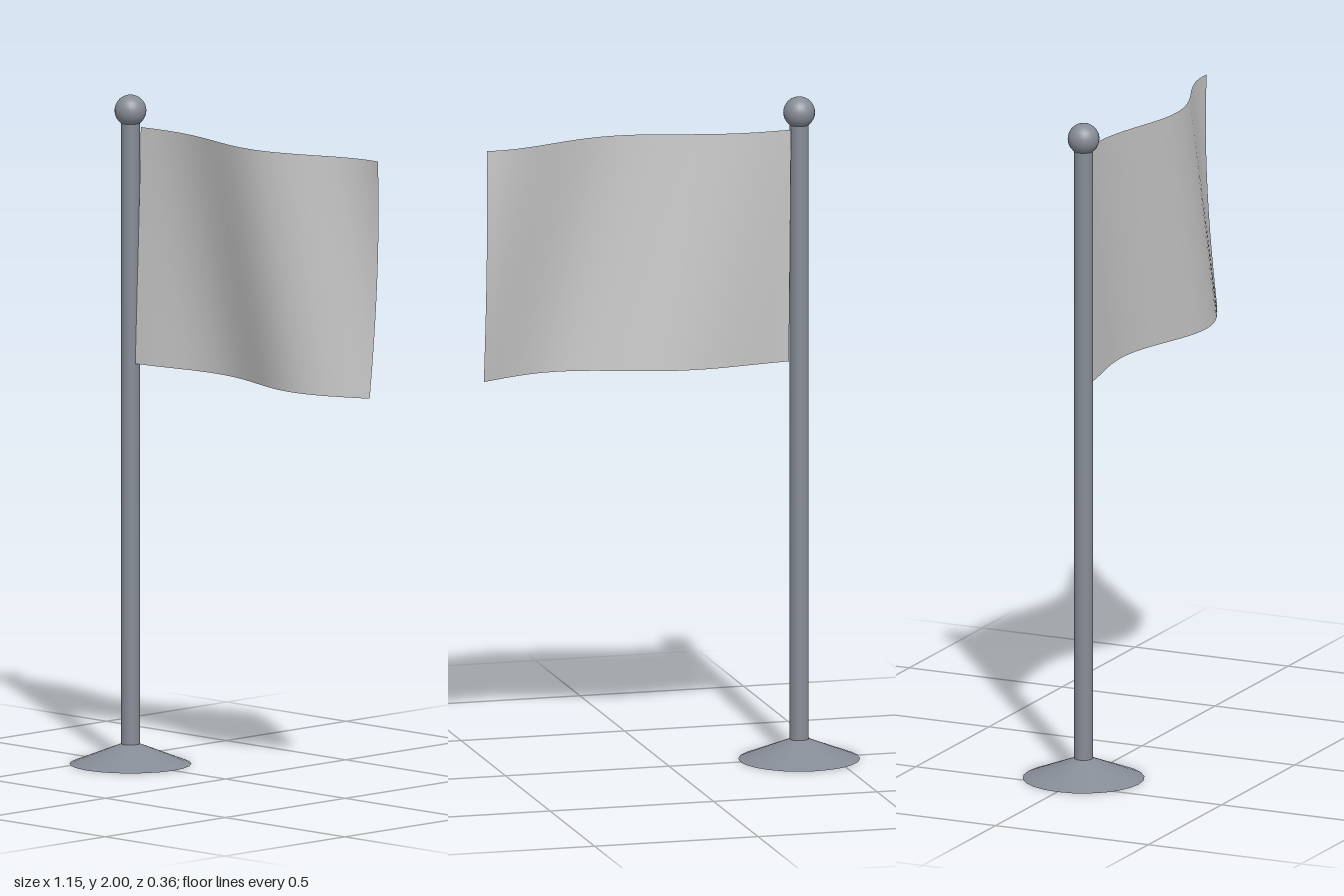
import * as THREE from 'three';

const POLE_X = -0.398;

export function createModel() {
  const group = new THREE.Group();
  const metal = new THREE.MeshStandardMaterial({ color: 0x868c96 });
  metal.name = 'grey metal';
  const cloth = new THREE.MeshStandardMaterial({ color: 0xc8c8c8, side: THREE.DoubleSide });
  cloth.name = 'pale cloth';

  const add = (name, geometry, material, x, y) => {
    const mesh = new THREE.Mesh(geometry, material);
    mesh.name = name;
    mesh.position.set(x, y, 0);
    group.add(mesh);
  };
  const lathe = (points) =>
    new THREE.LatheGeometry(points.map(([r, y]) => new THREE.Vector2(r, y)), 24);

  // Conical foot, with a shallow dished underside
  add('baseTop', lathe([[0.18, 0], [0.028, 0.06]]), metal, POLE_X, 0);
  add('baseUnderside', lathe([[0, 0.025], [0.05, 0.02], [0.095, 0], [0.18, 0]]), metal, POLE_X, 0);

  // Pole and ball finial
  add('pole', new THREE.CylinderGeometry(0.028, 0.028, 1.88, 24), metal, POLE_X, 0.98);
  add('finial', new THREE.SphereGeometry(0.047, 24, 16), metal, POLE_X, 1.953);

  // Rippling flag: the wave grows away from the pole and leans with height
  const width = 0.943, height = 0.705;
  const flag = new THREE.PlaneGeometry(width, height, 40, 20);
  flag.translate(width / 2, height / 2, 0);
  const p = flag.attributes.position;
  for (let i = 0; i < p.count; i++) {
    const u = p.getX(i);
    const start = 0.065 - 0.185 * (p.getY(i) / height);
    p.setZ(i, -(0.018 + 0.05 * u) * Math.sin((Math.PI * (u - start)) / 0.41));
  }
  flag.computeVertexNormals();
  add('flag', flag, cloth, -0.369, 1.2);

  return group;
}
